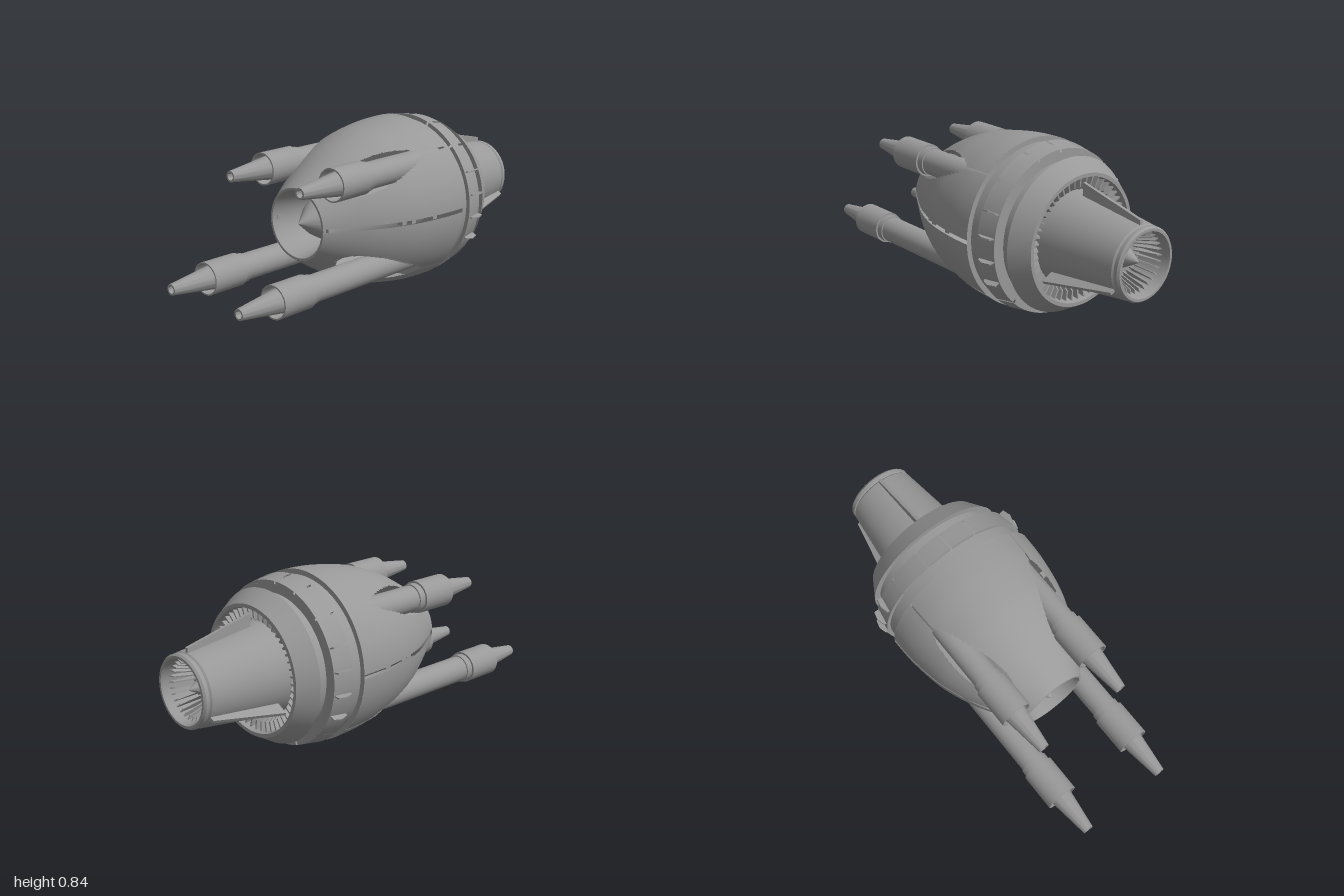
import * as THREE from 'three';
import { toCreasedNormals } from 'three/addons/utils/BufferGeometryUtils.js';

const grey = new THREE.MeshStandardMaterial({ color: 0x999999, side: THREE.DoubleSide });
grey.name = 'hull grey';

function add(parent, name, geometry) {
  const mesh = new THREE.Mesh(geometry, grey);
  mesh.name = name;
  parent.add(mesh);
  return mesh;
}

// Turned part along z; the profile is a list of [radius, z]
function turned(parent, name, profile, sides = 64, start = 0, length = Math.PI * 2) {
  const pts = profile.map(([r, z]) => new THREE.Vector2(r, z));
  const g = new THREE.LatheGeometry(pts, sides, start, length);
  g.rotateX(Math.PI / 2);
  return add(parent, name, toCreasedNormals(g, 0.5));
}

// Thin plate standing on the axis: outline in [radius, z], turned to an angle
function blade(parent, name, outline, thickness, angle) {
  const shape = new THREE.Shape(outline.map(([r, z]) => new THREE.Vector2(r, z)));
  const g = new THREE.ExtrudeGeometry(shape, { depth: thickness, bevelEnabled: false });
  g.translate(0, 0, -thickness / 2);
  g.rotateX(Math.PI / 2);
  g.rotateZ(angle);
  return add(parent, name, g);
}

const rad = THREE.MathUtils.degToRad;
const POD = 0.2285;
const BORE = 0.086;
const hullCurve = new THREE.SplineCurve([
  [0.42, -0.29], [0.414, -0.16], [0.388, 0], [0.353, 0.11], [0.308, 0.21], [0.25, 0.31], [0.175, 0.43],
].map(([r, z]) => new THREE.Vector2(r, z)));

// Hull panel between two slots, with round bores cut out for the cannons
function hullPanel(fromDeg, toDeg) {
  const cols = Math.round((toDeg - fromDeg) / 1.5), rows = 76;
  const pos = [], index = [], depth = [];
  const gap = (deg, z) => (deg % 180 === 0 ? 0.01 : z > 0.25 ? 0 : 0.005);
  for (let i = 0; i <= rows; i++) {
    const p = hullCurve.getPoint(i / rows);
    const a0 = rad(fromDeg) + Math.asin(gap(fromDeg, p.y) / p.x);
    const a1 = rad(toDeg) - Math.asin(gap(toDeg, p.y) / p.x);
    for (let j = 0; j <= cols; j++) {
      const a = a0 + (a1 - a0) * j / cols;
      let x = p.x * Math.cos(a), y = p.x * Math.sin(a);
      const cx = POD * Math.sign(x), cy = POD * Math.sign(y);
      const d = Math.hypot(x - cx, y - cy);
      depth.push(d - BORE);
      // vertices just inside a bore slide to its rim
      if (d < BORE && d > 0) {
        x = cx + (x - cx) * BORE / d;
        y = cy + (y - cy) * BORE / d;
      }
      pos.push(x, y, p.y);
    }
  }
  const tri = (a, b, c) => {
    if (depth[a] + depth[b] + depth[c] > 0) index.push(a, b, c);
  };
  for (let i = 0; i < rows; i++) {
    for (let j = 0; j < cols; j++) {
      const a = i * (cols + 1) + j, b = a + 1, c = a + cols + 1, d = c + 1;
      tri(a, b, d);
      tri(a, d, c);
    }
  }
  const g = new THREE.BufferGeometry();
  g.setAttribute('position', new THREE.Float32BufferAttribute(pos, 3));
  g.setIndex(index);
  g.computeVertexNormals();
  return g;
}

// Cannon whose muzzle tip lies at z = tip
function cannon(tip) {
  const group = new THREE.Group();
  group.name = 'cannon';
  turned(group, 'muzzle', [[0, tip - 0.03], [0.018, tip - 0.03], [0.018, tip], [0.027, tip], [0.053, tip - 0.2], [0.072, tip - 0.34]], 32);
  turned(group, 'barrelSleeve', [[0.073, tip - 0.34], [0.073, tip - 0.2], [0.08, tip - 0.2], [0.08, tip - 0.39], [0.06, tip - 0.39]].reverse(), 40);
  turned(group, 'collar', [[0.05, tip - 0.425], [0.071, tip - 0.425], [0.071, tip - 0.385]], 40);
  turned(group, 'arm', [[0.065, -0.29], [0.065, tip - 0.38]], 40);
  return group;
}

export function createModel() {
  const model = new THREE.Group();
  model.name = 'podShip';
  const ship = new THREE.Group();
  ship.name = 'ship';
  ship.position.y = 0.42;
  model.add(ship);

  // Hull shell in six panels
  const cuts = [0, 45, 135, 180, 225, 315, 360];
  for (let i = 0; i < 6; i++) add(ship, 'hullPanel', hullPanel(cuts[i], cuts[i + 1]));
  turned(ship, 'hullBulkhead', [[0, -0.29], [0.42, -0.29]], 96);

  // Ties bridging the side slots
  for (const side of [-1, 1]) {
    for (const [r, z] of [[0.19, 0.39], [0.36, 0.07], [0.377, 0.02], [0.4, -0.11]]) {
      const tie = add(ship, 'slotTie', new THREE.BoxGeometry(0.03, 0.022, 0.03));
      tie.position.set(side * (r - 0.02), 0, z);
    }
  }

  // Intake at the front, with its inner core
  turned(ship, 'intakeDuct', [[0.115, 0.22], [0.135, 0.22], [0.135, 0.25], [0.16, 0.415], [0.164, 0.43], [0.175, 0.43]]);
  turned(ship, 'innerCore', [[0.2, -0.29], [0.19, 0.2], [0.166, 0.42]]);
  turned(ship, 'intakeSpike', [[0.118, 0.2], [0.116, 0.25], [0.075, 0.325], [0, 0.42]]);

  // Four cannons, the lower pair reaching further forward
  for (const sx of [-1, 1]) {
    for (const sy of [-1, 1]) {
      const gun = cannon(sy > 0 ? 0.63 : 1);
      gun.position.set(sx * POD, sy * POD, 0);
      ship.add(gun);
    }
  }

  // Stepped rings behind the hull
  turned(ship, 'frontGroove', [[0.395, -0.36], [0.395, -0.29]], 96);
  turned(ship, 'ringCore', [[0.33, -0.45], [0.382, -0.45], [0.392, -0.36]], 96);
  turned(ship, 'rearGroove', [[0.34, -0.52], [0.34, -0.45]], 96);
  const slits = [-45, 45, 70, 90, 110, 135, 225, 250, 270, 290, 315];
  for (let i = 0; i < slits.length - 1; i++) {
    const start = rad(slits[i] + 0.8), length = rad(slits[i + 1] - slits[i] - 1.6);
    const profile = [[0.37, -0.455], [0.398, -0.455], [0.415, -0.355], [0.37, -0.355]];
    // lathe angle zero points down after turning, so shift by a quarter
    turned(ship, 'ringSegment', profile, 24, start + Math.PI / 2, length);
  }
  for (const deg of [-24, -8, 8, 24]) {
    for (const base of [0, 180]) {
      blade(ship, 'ringFlap', [[0.39, -0.45], [0.425, -0.45], [0.436, -0.41], [0.425, -0.37], [0.39, -0.36]], 0.007, rad(deg + base));
    }
  }
  turned(ship, 'rearRing', [[0.2, -0.53], [0.285, -0.53], [0.3, -0.61], [0.318, -0.61], [0.374, -0.515], [0.32, -0.515]], 96);

  // Vanes between the rear ring and the nozzle
  for (let i = 0; i < 48; i++) {
    blade(ship, 'ringVane', [[0.215, -0.53], [0.288, -0.53], [0.296, -0.59], [0.25, -0.585]], 0.008, i * Math.PI / 24);
  }

  // Tail nozzle with vanes and spike
  turned(ship, 'nozzle', [
    [0, -0.84], [0.128, -0.84], [0.148, -0.985], [0.153, -1], [0.165, -1], [0.173, -0.99], [0.173, -0.972],
    [0.168, -0.968], [0.175, -0.96], [0.218, -0.61], [0.228, -0.53],
  ]);
  turned(ship, 'nozzleSpike', [[0, -0.96], [0.045, -0.88], [0.055, -0.84]], 32);
  for (let i = 0; i < 30; i++) {
    blade(ship, 'nozzleVane', [[0.09, -0.84], [0.129, -0.84], [0.145, -0.96], [0.125, -0.95]], 0.006, i * Math.PI / 15);
  }

  // Three tail fins
  for (const deg of [90, 210, 330]) {
    blade(ship, 'tailFin', [[0.2, -0.61], [0.28, -0.61], [0.198, -0.96], [0.165, -0.96]], 0.016, rad(deg));
  }
  return model;
}
